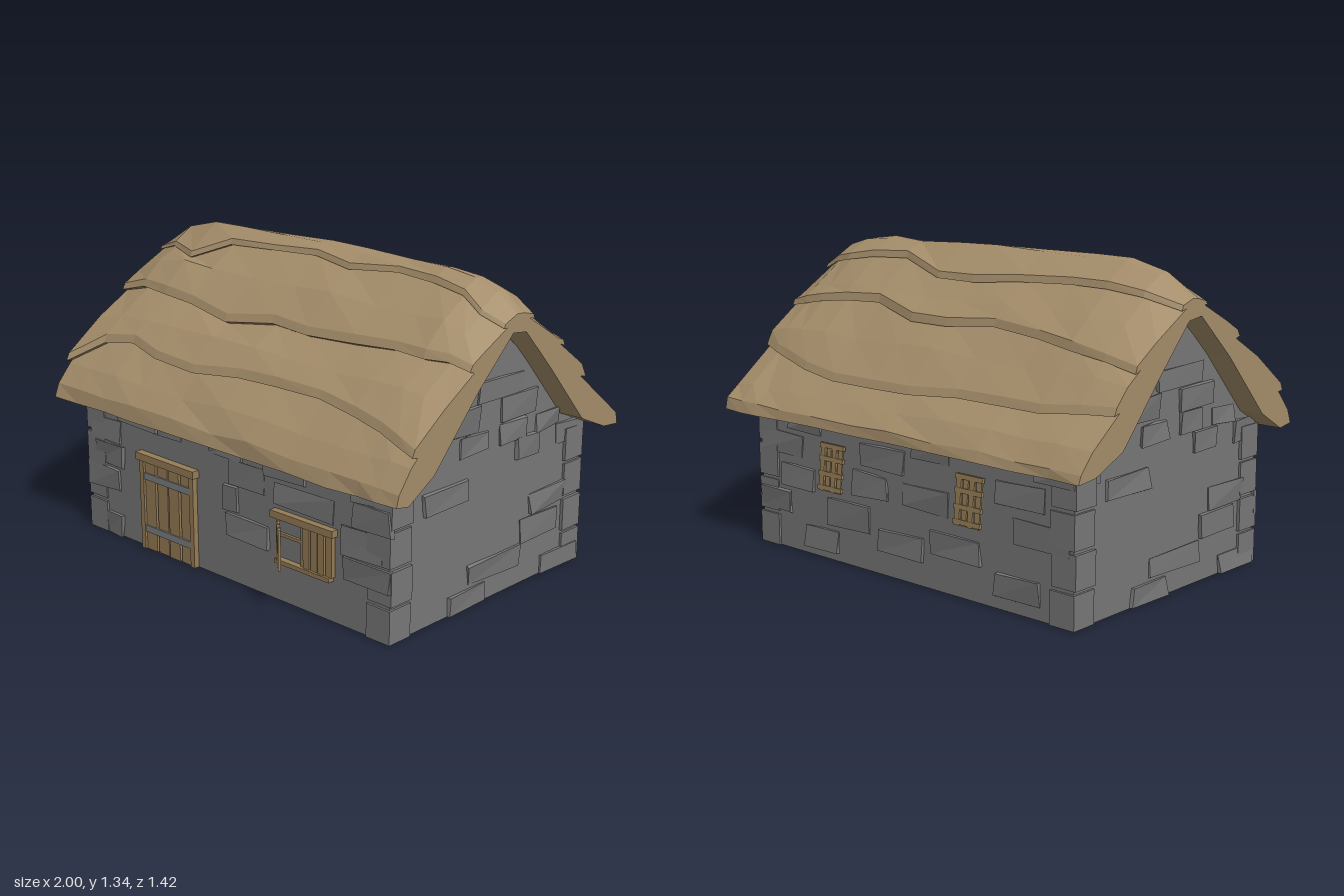
import * as THREE from 'three';

const mat = (name, color) => {
  const m = new THREE.MeshStandardMaterial({ color, flatShading: true });
  m.name = name;
  return m;
};

// Seeded random in -1..1
let seed = 7;
const rnd = () => {
  seed = (seed * 16807) % 2147483647;
  return (seed / 2147483647) * 2 - 1;
};

// Roof cross-section points [z, y, layer]; a layer number marks the lip of a thatch course
const OUTER = [
  [0.69, 0.6], [0.675, 0.66], [0.61, 0.74], [0.52, 0.825, 0], [0.55, 0.83, 0], [0.535, 0.865, 0],
  [0.43, 0.955], [0.305, 1.035, 1], [0.33, 1.045, 1], [0.315, 1.08, 1],
  [0.2, 1.18], [0.07, 1.265, 2], [0.09, 1.265, 2], [0.08, 1.29, 2],
  [0.01, 1.325], [-0.03, 1.33], [-0.19, 1.215, 3], [-0.2, 1.185, 3], [-0.17, 1.195, 3],
  [-0.26, 1.13], [-0.34, 1.065, 4], [-0.35, 1.03, 4], [-0.32, 1.045, 4],
  [-0.43, 0.94], [-0.535, 0.83, 5], [-0.55, 0.795, 5], [-0.515, 0.805, 5],
  [-0.63, 0.71], [-0.695, 0.645], [-0.705, 0.6],
];
const INNER = [[-0.61, 0.61], [-0.45, 0.68], [-0.22, 0.94], [-0.05, 1.12], [0.03, 1.13], [0.23, 0.945], [0.48, 0.675], [0.62, 0.592]];
const COLUMNS = [-1, -0.85, -0.68, -0.5, -0.25, 0, 0.2, 0.45, 0.65, 0.8, 0.9, 1];
const DROP = [0.13, 0.04, 0, 0, 0, 0, 0, 0, 0, 0.015, 0.06, 0.13];
// How far each course edge wanders up the slope, per column
const WAVES = [
  [-0.07, 0.02, 0.04, 0.01, 0, 0.025, 0.03, 0.03, 0.01, -0.01, -0.03, -0.05],
  [0.03, 0.03, 0.01, 0, -0.03, 0, -0.01, 0, 0.01, 0.01, 0.03, 0.04],
  [0.02, -0.02, -0.07, 0, 0.01, 0.02, 0, 0.02, 0.01, 0, -0.02, 0],
  [0.09, 0.05, 0.04, 0.04, 0.03, 0.01, 0.01, 0.07, 0.06, 0.05, 0.07, 0.09],
  [-0.03, -0.03, -0.02, 0, 0.02, 0, 0, 0.05, 0.04, 0.03, 0.03, 0.04],
  [0.04, 0.02, 0, 0, 0, -0.02, -0.02, -0.02, 0, 0.03, 0.05, 0.08],
];

function roofGeometry() {
  const pos = [], idx = [], n = OUTER.length + INNER.length;
  COLUMNS.forEach((x, i) => {
    for (const [z, y, layer] of OUTER) {
      const w = layer === undefined ? 0 : WAVES[layer][i];
      const j = layer === undefined ? 0.01 : 0.002;
      const yy = y + w + (y > 0.62 ? rnd() * j : rnd() * 0.004);
      const zz = z - Math.sign(z) * w * 1.1 + (y < 0.62 ? rnd() * 0.008 : 0);
      pos.push(x, yy - DROP[i] * Math.max(0, (yy - 0.6) / 0.73) ** 2, zz);
    }
    for (const [z, y] of INNER) pos.push(x, y, z);
  });
  for (let i = 0; i < COLUMNS.length - 1; i++) {
    for (let j = 0; j < n; j++) {
      const k = (j + 1) % n;
      const a = i * n + j, b = a + n, c = b - j + k, d = i * n + k;
      idx.push(a, b, d, b, c, d);
    }
  }
  // Gable end caps
  for (const i of [0, COLUMNS.length - 1]) {
    const pts = [];
    for (let j = 0; j < n; j++) pts.push(new THREE.Vector2(-pos[(i * n + j) * 3 + 2], pos[(i * n + j) * 3 + 1]));
    for (const [a, b, c] of THREE.ShapeUtils.triangulateShape(pts, [])) {
      const ccw = THREE.ShapeUtils.area([pts[a], pts[b], pts[c]]) > 0;
      const [p, q, r] = [a, b, c].map((v) => v + i * n);
      if (ccw === i > 0) idx.push(p, q, r);
      else idx.push(p, r, q);
    }
  }
  const g = new THREE.BufferGeometry();
  g.setAttribute('position', new THREE.Float32BufferAttribute(pos, 3));
  g.setIndex(idx);
  const flat = g.toNonIndexed();
  flat.computeVertexNormals();
  return flat;
}

// Stones as [left, right, bottom, top] on each wall face
const FRONT = [
  [-0.68, -0.43, 0.54, 0.61], [-0.87, -0.68, 0.43, 0.53], [0.02, 0.22, 0.43, 0.53], [-0.02, 0.07, 0.31, 0.42],
  [0.28, 0.6, 0.41, 0.5], [0.7, 0.89, 0.54, 0.61], [0.66, 0.85, 0.31, 0.42], [0.7, 0.9, 0.43, 0.53],
  [0.65, 0.9, 0.2, 0.3], [-0.9, -0.69, 0.21, 0.31], [-0.78, -0.68, 0, 0.1], [-0.42, -0.28, 0.54, 0.61],
  [-0.1, 0.1, 0.54, 0.61], [0.0, 0.24, 0.2, 0.3], [-0.84, -0.66, 0.32, 0.42], [0.22, 0.45, 0.52, 0.6],
];
const BACK = [
  [-0.88, -0.62, 0.42, 0.52], [-0.75, -0.55, 0.28, 0.38], [-0.9, -0.7, 0.16, 0.26], [-0.25, 0, 0.45, 0.55],
  [-0.3, -0.1, 0.32, 0.42], [0, 0.25, 0.32, 0.42], [-0.45, -0.2, 0.16, 0.27], [-0.15, 0.1, 0.1, 0.2],
  [0.15, 0.42, 0.15, 0.25], [0.5, 0.75, 0.42, 0.52], [0.6, 0.88, 0.28, 0.38], [0.5, 0.72, 0.05, 0.15],
  [-0.6, -0.4, 0.03, 0.13], [0.05, 0.25, 0.53, 0.61], [0.7, 0.9, 0.54, 0.61], [-0.7, -0.5, 0.54, 0.61],
];
const SIDE = [
  [-0.25, -0.08, 0.73, 0.83], [-0.41, -0.15, 0.46, 0.55], [-0.2, -0.03, 0.64, 0.72], [0.05, 0.2, 0.64, 0.73],
  [0.15, 0.3, 0.55, 0.64], [0.28, 0.43, 0.64, 0.71], [0.43, 0.59, 0.55, 0.64], [0.2, 0.44, 0.18, 0.28],
  [-0.13, 0.2, 0.09, 0.18], [-0.25, -0.02, 0, 0.08], [0.35, 0.59, 0, 0.08], [0.05, 0.27, 0.74, 0.83],
  [-0.59, -0.45, 0.55, 0.63], [-0.1, 0.2, 0.84, 0.92], [0.26, 0.5, 0.29, 0.38],
];

export function createModel() {
  const model = new THREE.Group();
  const stone = mat('stone', 0x777777);
  const thatch = mat('thatch', 0xa48d6a);
  const wood = mat('wood', 0x957c56);
  const iron = mat('iron', 0x7c7f82);

  const add = (parent, name, geometry, material) => {
    const m = new THREE.Mesh(geometry, material);
    m.name = name;
    parent.add(m);
    return m;
  };
  const group = (name, x = 0, y = 0, z = 0, parent = model) => {
    const g = new THREE.Group();
    g.name = name;
    g.position.set(x, y, z);
    parent.add(g);
    return g;
  };
  // Box given by its extents
  const box = (parent, name, x0, x1, y0, y1, z0, z1, material = wood) => {
    const m = add(parent, name, new THREE.BoxGeometry(x1 - x0, y1 - y0, z1 - z0), material);
    m.position.set((x0 + x1) / 2, (y0 + y1) / 2, (z0 + z1) / 2);
    return m;
  };
  // Vertical boards side by side
  const boards = (parent, count, x0, x1, y0, y1, z0, z1, gap = 0.006) => {
    const w = (x1 - x0) / count;
    for (let i = 0; i < count; i++) {
      box(parent, 'board', x0 + i * w + gap / 2, x0 + (i + 1) * w - gap / 2, y0, y1, z0, z1 - (i % 2) * 0.003);
    }
  };

  // Walls with gables
  const profile = [[-0.595, 0], [0.595, 0], [0.595, 0.63], [0.47, 0.7], [0.23, 0.955], [0, 1.145], [-0.22, 0.955], [-0.45, 0.7], [-0.595, 0.63]];
  const shape = new THREE.Shape(profile.map(([z, y]) => new THREE.Vector2(-z, y)));
  const wallGeo = new THREE.ExtrudeGeometry(shape, { depth: 1.78, bevelEnabled: false });
  wallGeo.translate(0, 0, -0.89).rotateY(Math.PI / 2);
  add(model, 'walls', wallGeo, stone);

  // Irregular raised stones, each tilted a little out of its wall
  const stoneFace = (name, list, x, z, turn) => {
    const face = group(name, x, 0, z);
    face.rotation.y = turn;
    for (const [l, r, b, t] of list) {
      const corners = {};
      const geo = new THREE.BoxGeometry(r - l, t - b, 0.02);
      const p = geo.attributes.position;
      for (let i = 0; i < p.count; i++) {
        const key = [p.getX(i), p.getY(i), p.getZ(i)].map(Math.sign).join();
        corners[key] ??= [rnd() * 0.01, b > 0 ? rnd() * 0.008 : 0, p.getZ(i) > 0 ? rnd() * 0.008 : 0];
        const c = corners[key];
        p.setXYZ(i, p.getX(i) + c[0], p.getY(i) + c[1], p.getZ(i) + c[2]);
      }
      geo.computeVertexNormals();
      add(face, 'wallStone', geo, stone).position.set((l + r) / 2, (b + t) / 2, 0);
    }
  };
  stoneFace('frontStones', FRONT, 0, 0.595, 0);
  stoneFace('backStones', BACK, 0, -0.595, Math.PI);
  stoneFace('rightStones', SIDE, 0.89, 0, Math.PI / 2);
  stoneFace('leftStones', SIDE, -0.89, 0, -Math.PI / 2);

  // Corner stones
  for (const sx of [-1, 1]) for (const sz of [-1, 1]) {
    for (let i = 0; i < 4; i++) {
      const c = box(model, 'cornerStone', -0.06, 0.06, 0, 0.14, -0.06, 0.06, stone);
      c.position.set(sx * (0.84 + (i % 2) * 0.004), 0.07 + i * 0.155, sz * (0.545 - (i % 2) * 0.004));
    }
  }

  // Thatched roof
  add(model, 'thatchedRoof', roofGeometry(), thatch);

  // Door
  const door = group('door', 0, 0, 0.595);
  boards(door, 4, -0.505, -0.205, 0, 0.405, 0, 0.016, 0.01);
  box(door, 'leftPost', -0.528, -0.503, 0, 0.41, 0, 0.024);
  box(door, 'rightPost', -0.21, -0.185, 0, 0.41, 0, 0.024);
  box(door, 'lintel', -0.54, -0.172, 0.405, 0.438, 0, 0.035).rotation.z = -0.008;
  for (const y of [0.08, 0.32]) box(door, 'strap', -0.503, -0.21, y, y + 0.03, 0.01, 0.021, iron);

  // Front window with one open and one closed shutter
  const win = group('frontWindow', 0, 0, 0.595);
  box(win, 'topRail', 0.28, 0.62, 0.362, 0.392, 0, 0.03);
  box(win, 'sill', 0.3, 0.6, 0.172, 0.19, 0, 0.028);
  box(win, 'mullion', 0.435, 0.45, 0.19, 0.365, 0, 0.014);
  box(win, 'crossBar', 0.31, 0.45, 0.285, 0.298, 0, 0.012);
  boards(win, 4, 0.45, 0.61, 0.19, 0.362, 0, 0.02);
  const open = group('openShutter', 0.305, 0, 0.01, win);
  open.rotation.y = -0.74;
  boards(open, 4, 0, 0.145, 0.19, 0.36, -0.006, 0.008);

  // Hanging slatted shutters on the back
  for (const x of [0.41, -0.38]) {
    const s = group('backShutter', x, 0.515, -0.607);
    s.rotation.set(0.1, Math.PI, 0, 'YXZ');
    s.rotation.x = -0.1;
    boards(s, 4, -0.07, 0.07, -0.205, 0, 0, 0.01, 0.009);
    for (const y of [-0.2, -0.14, -0.075, -0.02]) box(s, 'rail', -0.072, 0.072, y, y + 0.02, -0.002, 0.012);
  }
  return model;
}
